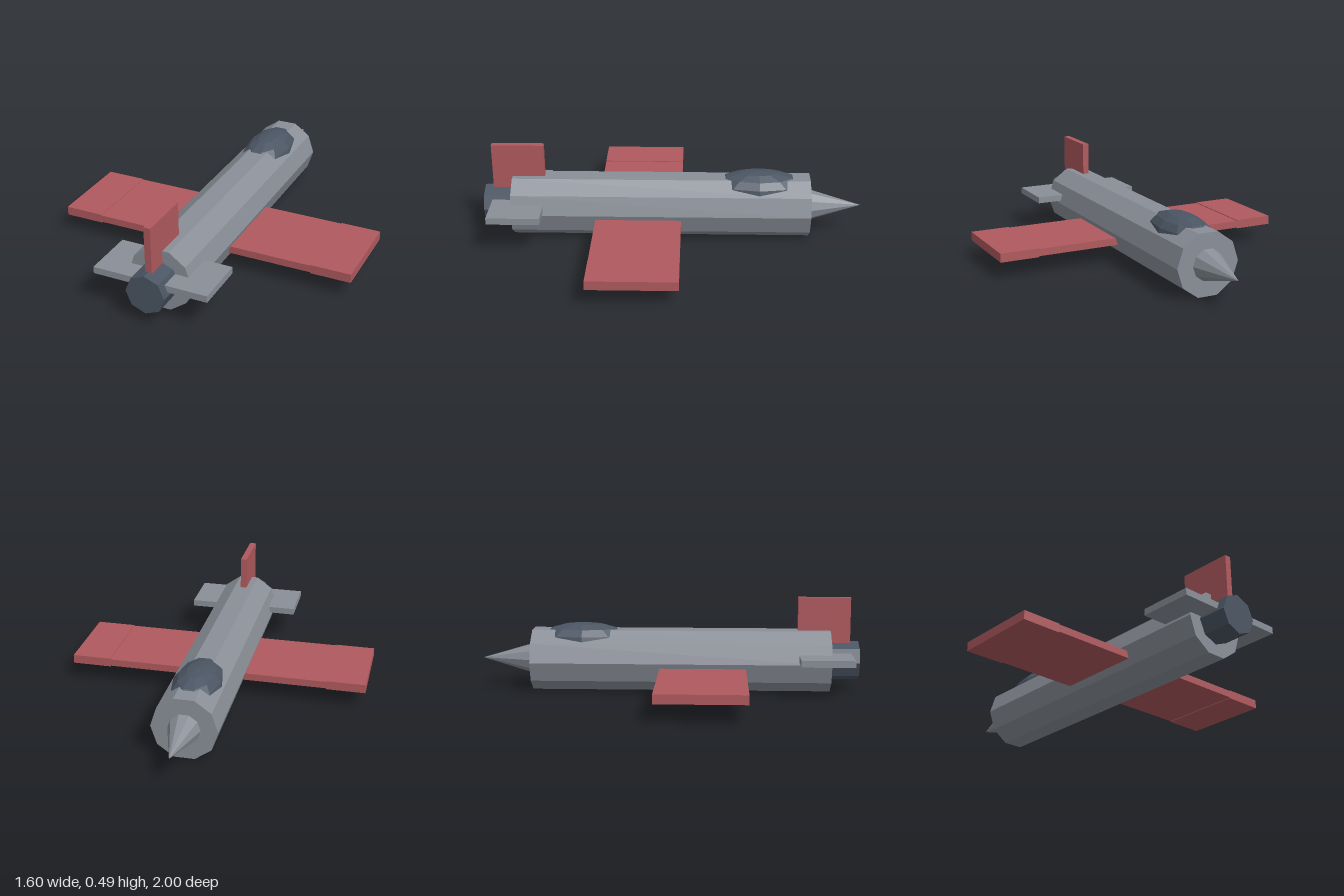
import * as THREE from 'three';

const grey = new THREE.MeshStandardMaterial({ color: 0x8a8f98 });
grey.name = 'hull grey';
const slate = new THREE.MeshStandardMaterial({ color: 0x4b5563 });
slate.name = 'dark slate';
const red = new THREE.MeshStandardMaterial({ color: 0xb05a5e });
red.name = 'wing red';

const AXIS_Y = 0.16; // height of the fuselage centre line

export function createModel() {
  const model = new THREE.Group();
  model.name = 'plane';

  // Adds a faceted mesh
  function add(name, geometry, material, x, y, z) {
    const flat = geometry.index ? geometry.toNonIndexed() : geometry;
    flat.computeVertexNormals();
    const mesh = new THREE.Mesh(flat, material);
    mesh.name = name;
    mesh.position.set(x, y, z);
    model.add(mesh);
  }

  // Prism or cone lying along z, from zBack to the nose end zNose
  function tube(name, material, rNose, rBack, sides, start, zNose, zBack) {
    const g = new THREE.CylinderGeometry(rNose, rBack, zBack - zNose, sides, 1, false, start);
    g.rotateX(-Math.PI / 2);
    add(name, g, material, 0, AXIS_Y, (zNose + zBack) / 2);
  }

  // Box given by its lower and upper corners
  function block(name, material, x0, x1, y0, y1, z0, z1) {
    add(name, new THREE.BoxGeometry(x1 - x0, y1 - y0, z1 - z0), material,
      (x0 + x1) / 2, (y0 + y1) / 2, (z0 + z1) / 2);
  }

  // Body: ten-sided hull, pointed nose, eight-sided engine nozzle
  tube('fuselage', grey, 0.168, 0.168, 10, Math.PI / 10, -0.725, 0.85);
  tube('noseCone', grey, 0, 0.082, 10, Math.PI / 10, -1, -0.725);
  tube('engine', slate, 0.102, 0.102, 8, 0, 0.8, 1);

  // Canopy: faceted ellipsoid sunk into the hull
  const canopy = new THREE.SphereGeometry(1, 10, 8);
  canopy.scale(0.13, 0.105, 0.255);
  add('canopy', canopy, slate, 0, 0.25, -0.455);

  // Wings with slightly thicker tips
  block('wing', red, -0.6, 0.6, 0.098, 0.136, -0.045, 0.405);
  for (const [name, side] of [['leftWingTip', 1], ['rightWingTip', -1]]) {
    const a = side * 0.59, b = side * 0.8;
    block(name, red, Math.min(a, b), Math.max(a, b), 0.093, 0.14, -0.045, 0.405);
  }

  // Tail
  block('tailplane', grey, -0.3, 0.3, 0.175, 0.21, 0.68, 0.955);
  block('tailFin', red, -0.017, 0.017, 0.2, 0.495, 0.68, 0.955);

  return model;
}
